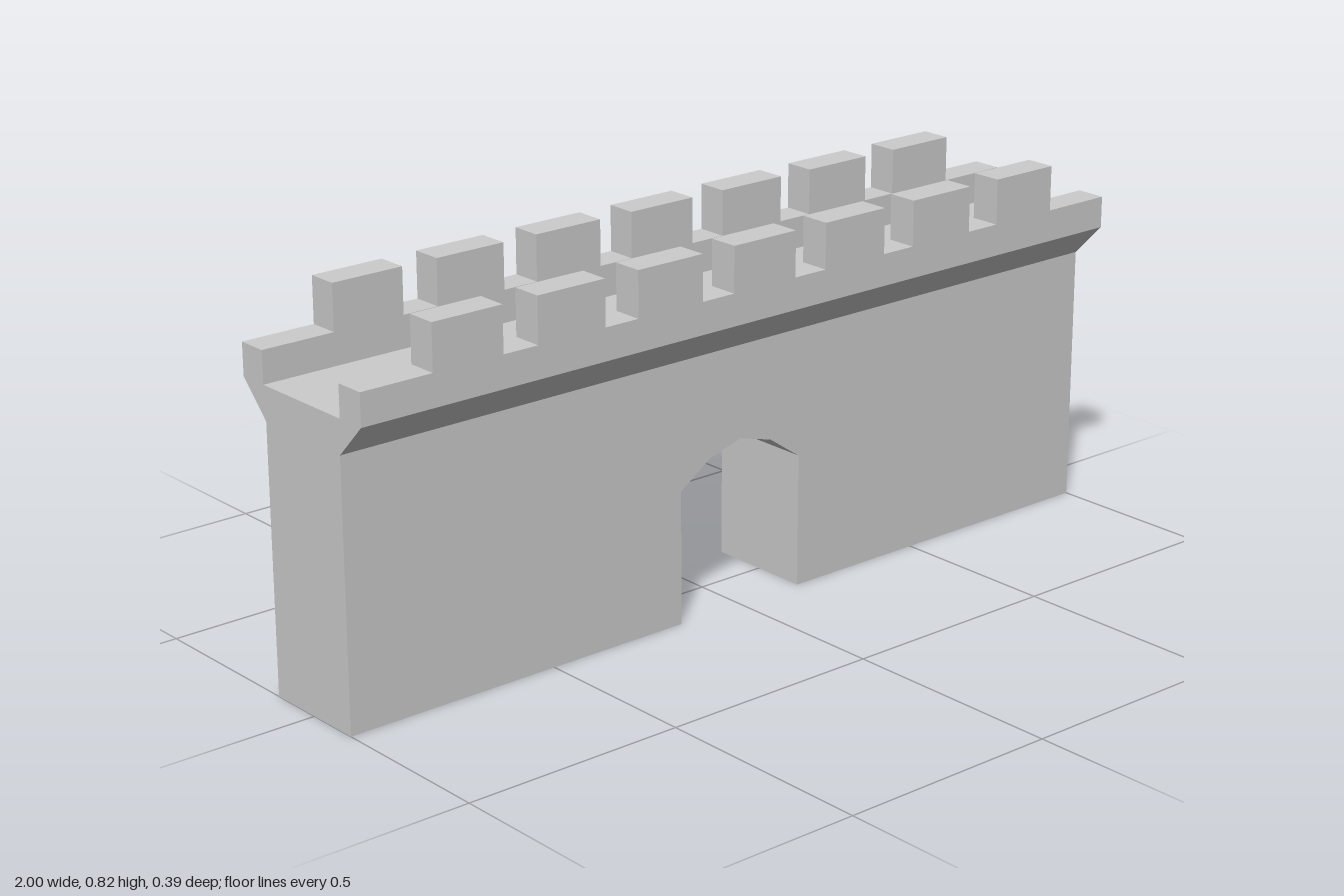
import * as THREE from 'three';

const material = new THREE.MeshStandardMaterial({ color: 0xcccccc, flatShading: true });

const WALL_Z = 0.123, OUTER_Z = 0.195, INNER_Z = 0.127;
const CORNICE_Y = 0.578, DECK_Y = 0.652, SILL_Y = 0.722, TOP_Y = 0.822;

function part(name, geometry) {
  const mesh = new THREE.Mesh(geometry, material);
  mesh.name = name;
  return mesh;
}

// Flat face filling an outline, facing +z
function face(points) {
  return new THREE.ShapeGeometry(new THREE.Shape(points.map(([x, y]) => new THREE.Vector2(x, y))));
}

// Open band: a polyline swept along z, facing left of its direction of travel
function band(points, depth) {
  const pos = [], h = depth / 2;
  for (let i = 0; i < points.length - 1; i++) {
    const [x0, y0] = points[i], [x1, y1] = points[i + 1];
    pos.push(x0, y0, h, x1, y1, h, x1, y1, -h, x0, y0, h, x1, y1, -h, x0, y0, -h);
  }
  const geometry = new THREE.BufferGeometry();
  geometry.setAttribute('position', new THREE.Float32BufferAttribute(pos, 3));
  geometry.computeVertexNormals();
  return geometry;
}

export function createModel() {
  const model = new THREE.Group();
  model.name = 'castleWall';

  // Underside and gateway arch
  const gate = [
    [1, 0], [0.163, 0], [0.163, 0.295], [0.083, 0.35], [0, 0.373],
    [-0.083, 0.35], [-0.163, 0.295], [-0.163, 0], [-1, 0],
  ];
  model.add(part('gateway', band(gate, 2 * WALL_Z)));

  // Stepped top line of the battlements: seven merlons
  const crest = [[-1, SILL_Y]];
  for (let i = -3; i <= 3; i++) {
    const l = i * 0.25 - 1 / 12, r = i * 0.25 + 1 / 12;
    crest.push([l, SILL_Y], [l, TOP_Y], [r, TOP_Y], [r, SILL_Y]);
  }
  crest.push([1, SILL_Y]);
  const battlement = [[-1, DECK_Y], ...crest, [1, DECK_Y]];

  // Front and back: wall face, flared cornice and parapet
  for (const [name, angle] of [['front', 0], ['back', Math.PI]]) {
    const side = new THREE.Group();
    side.name = name + 'Side';
    side.add(part('wallFace', face([...gate, [-1, CORNICE_Y], [1, CORNICE_Y]]).translate(0, 0, WALL_Z)));
    side.add(part('cornice', band([[-WALL_Z, CORNICE_Y], [-OUTER_Z, DECK_Y]], 2).rotateY(Math.PI / 2)));
    side.add(part('parapetOuterFace', face(battlement).translate(0, 0, OUTER_Z)));
    side.add(part('parapetInnerFace', face(battlement).rotateY(Math.PI).translate(0, 0, INNER_Z)));
    side.add(part('parapetTop', band(crest, OUTER_Z - INNER_Z).translate(0, 0, (OUTER_Z + INNER_Z) / 2)));
    side.rotation.y = angle;
    model.add(side);
  }

  // Walkway between the parapets
  model.add(part('walkway', band([[-INNER_Z, DECK_Y], [INNER_Z, DECK_Y]], 2).rotateY(Math.PI / 2)));

  // End faces follow the full cross-section
  const half = [
    [WALL_Z, 0], [WALL_Z, CORNICE_Y], [OUTER_Z, DECK_Y],
    [OUTER_Z, SILL_Y], [INNER_Z, SILL_Y], [INNER_Z, DECK_Y],
  ];
  const section = [...half, ...half.map(([z, y]) => [-z, y]).reverse()];
  for (const [name, s] of [['leftEnd', 1], ['rightEnd', -1]]) {
    model.add(part(name, face(section).rotateY(s * Math.PI / 2).translate(s, 0, 0)));
  }

  return model;
}
